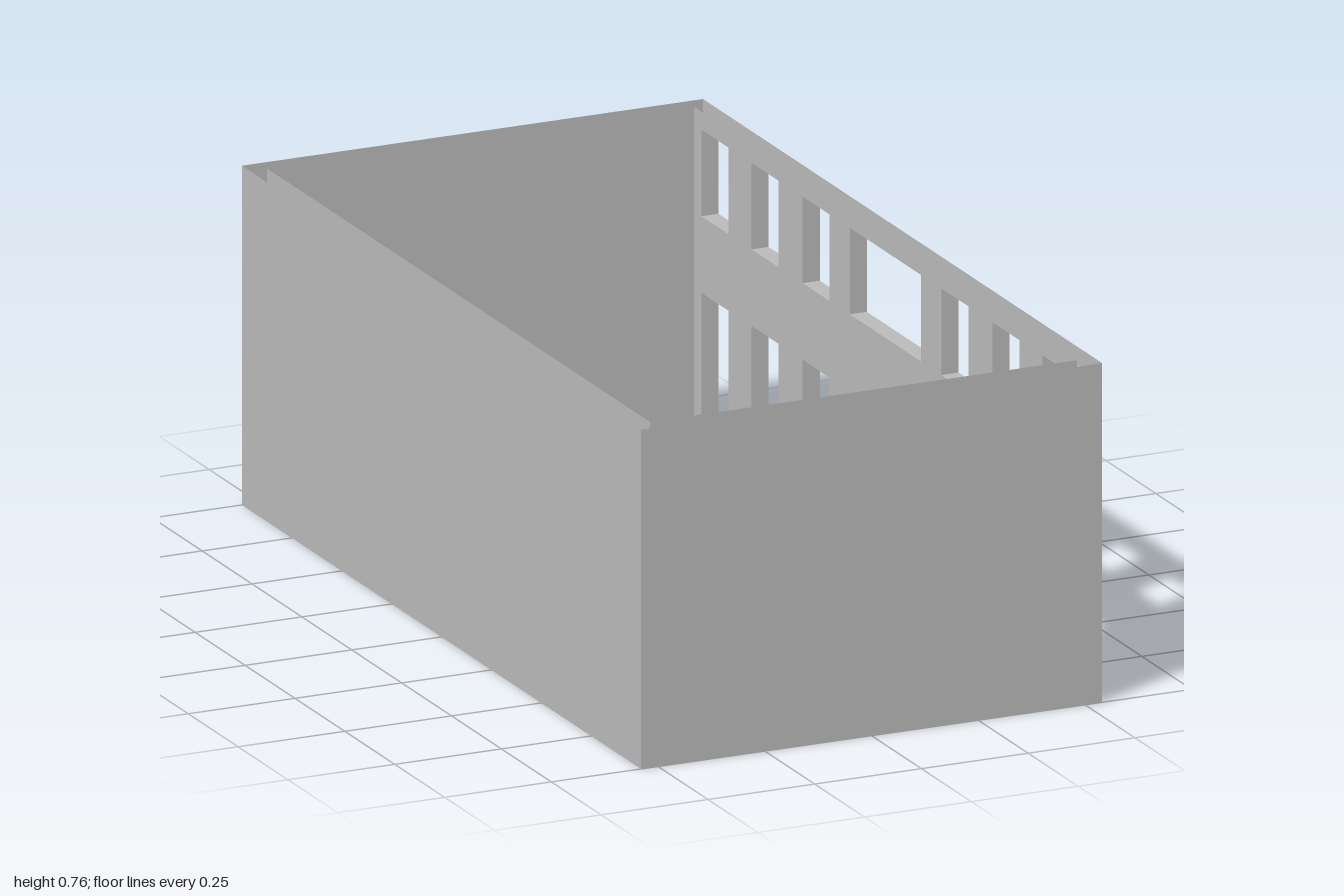
import * as THREE from 'three';

const X = 0.54, Z = 1, H = 0.757, T = 0.04; // half width, half length, height, wall thickness

const wallGrey = new THREE.MeshStandardMaterial({ color: 0xbbbbbb, side: THREE.DoubleSide });
wallGrey.name = 'wallGrey';

// Openings in the facade: z range and y range
const door = { z0: -0.115, z1: 0.115, y0: 0, y1: 0.289 };
const windows = [{ z0: -0.179, z1: 0.179, y0: 0.524, y1: 0.717 }];
for (const side of [-1, 1]) {
  for (const c of [0.348, 0.604, 0.855]) {
    const z0 = side * c - 0.067, z1 = side * c + 0.067;
    windows.push({ z0, z1, y0: 0.524, y1: 0.717 }, { z0, z1, y0: 0.059, y1: 0.353 });
  }
}

const polygon = (Type, pts) => new Type(pts.map(([a, b]) => new THREE.Vector2(a, b)));

function addMesh(group, name, geometry) {
  const mesh = new THREE.Mesh(geometry, wallGrey);
  mesh.name = name;
  group.add(mesh);
  return mesh;
}

// One skin of the pierced facade, with the doorway cut into its lower edge
function facadeSkin(halfLength) {
  const shape = polygon(THREE.Shape, [
    [-halfLength, 0], [-door.z1, 0], [-door.z1, door.y1], [-door.z0, door.y1],
    [-door.z0, 0], [halfLength, 0], [halfLength, H], [-halfLength, H],
  ]);
  for (const { z0, z1, y0, y1 } of windows) {
    shape.holes.push(polygon(THREE.Path, [[-z1, y0], [-z1, y1], [-z0, y1], [-z0, y0]]));
  }
  return new THREE.ShapeGeometry(shape).rotateY(Math.PI / 2);
}

// Faces lining an opening between the two skins
function addReveal(group, name, { z0, z1, y0, y1 }, hasSill) {
  const reveal = new THREE.Group();
  reveal.name = name;
  const x = X - T / 2, zc = (z0 + z1) / 2, yc = (y0 + y1) / 2;
  const jamb = () => new THREE.PlaneGeometry(T, y1 - y0);
  const slab = () => new THREE.PlaneGeometry(T, z1 - z0);
  addMesh(reveal, 'jambBack', jamb().translate(x, yc, z0));
  addMesh(reveal, 'jambFront', jamb().rotateY(Math.PI).translate(x, yc, z1));
  addMesh(reveal, 'lintel', slab().rotateX(Math.PI / 2).translate(x, y1, zc));
  if (hasSill) addMesh(reveal, 'sill', slab().rotateX(-Math.PI / 2).translate(x, y0, zc));
  group.add(reveal);
}

export function createModel() {
  const building = new THREE.Group();
  building.name = 'building';

  // Hollow walls: an outer and an inner skin, open along the top
  for (const [name, hx, hz, facing] of [['outer', X, Z, 1], ['inner', X - T, Z - T, -1]]) {
    const skin = new THREE.Group();
    skin.name = name + 'Walls';
    const end = () => new THREE.PlaneGeometry(2 * hx, H).rotateY(facing > 0 ? 0 : Math.PI);
    addMesh(skin, name + 'FrontWall', end().translate(0, H / 2, hz));
    addMesh(skin, name + 'BackWall', end().rotateY(Math.PI).translate(0, H / 2, -hz));
    addMesh(skin, name + 'RightWall',
      new THREE.PlaneGeometry(2 * hz, H).rotateY(-facing * Math.PI / 2).translate(-hx, H / 2, 0));
    addMesh(skin, name + 'Facade', facadeSkin(hz).translate(hx, 0, 0));
    building.add(skin);
  }

  // Window and door linings
  windows.forEach((w, i) => addReveal(building, 'windowReveal' + (i + 1), w, true));
  addReveal(building, 'doorReveal', door, false);

  // Floor sheet, notched under the doorway
  const floor = polygon(THREE.Shape, [
    [-X, -Z], [X, -Z], [X, -door.z1], [X - T, -door.z1],
    [X - T, -door.z0], [X, -door.z0], [X, Z], [-X, Z],
  ]);
  addMesh(building, 'floor', new THREE.ShapeGeometry(floor).rotateX(-Math.PI / 2));

  return building;
}
